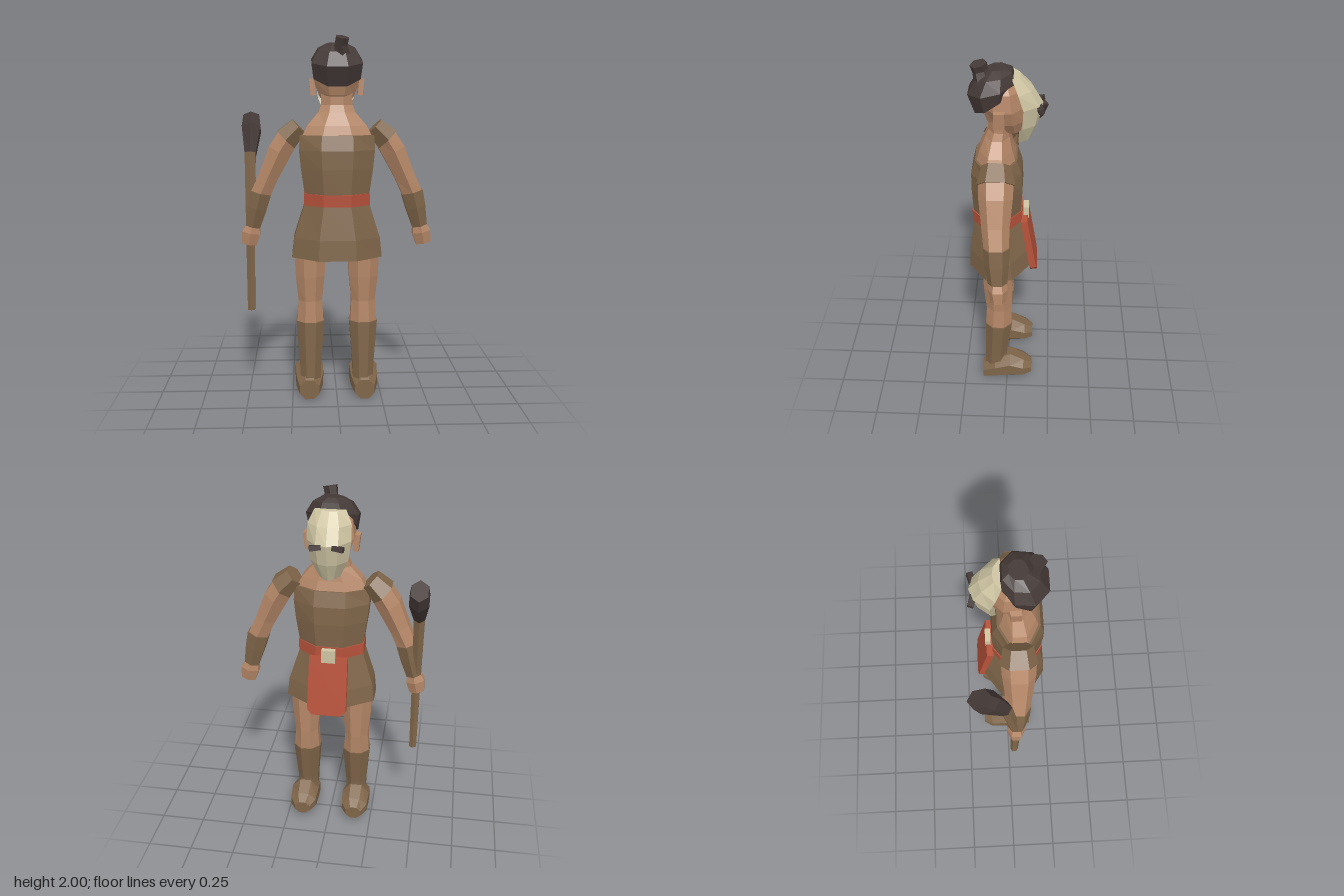
import * as THREE from 'three';

const mat = (name, color) => {
  const m = new THREE.MeshStandardMaterial({ color });
  m.name = name;
  return m;
};
const V = (x, y, z) => new THREE.Vector3(x, y, z);

// Eight- or six-sided ring around centre c, spanned by half-extents along a and b
function ringOn(c, a, b, n = 8) {
  const k = 1 / Math.cos(Math.PI / n);
  return Array.from({ length: n }, (_, i) => {
    const t = ((i + 0.5) / n) * Math.PI * 2;
    return c.clone().addScaledVector(a, k * Math.cos(t)).addScaledVector(b, k * Math.sin(t));
  });
}

// Horizontal ring from zBack to zFront; slope lifts y along z
const level = (x, y, rx, zBack, zFront, slope = 0, n = 8) => {
  const rz = (zBack - zFront) / 2;
  return ringOn(V(x, y, (zBack + zFront) / 2), V(rx, 0, 0), V(0, rz * slope, rz), n);
};

// Rings square to a path of [x, y, z, side radius, depth radius]
function along(path, n = 6) {
  const pts = path.map((p) => V(p[0], p[1], p[2]));
  return path.map((p, i) => {
    const t = pts[Math.min(i + 1, pts.length - 1)].clone().sub(pts[Math.max(i - 1, 0)]).normalize();
    const side = t.clone().cross(V(0, 0, 1)).normalize();
    const depth = side.clone().cross(t);
    return ringOn(pts[i], side.multiplyScalar(p[3]), depth.multiplyScalar(p[4]), n);
  });
}

// Closed faceted skin over a list of rings
function loft(rings) {
  const tris = [];
  const n = rings[0].length;
  for (let r = 0; r + 1 < rings.length; r++) {
    for (let i = 0; i < n; i++) {
      const j = (i + 1) % n;
      const [a, b, c, d] = [rings[r][i], rings[r][j], rings[r + 1][j], rings[r + 1][i]];
      tris.push([a, b, c], [a, c, d]);
    }
  }
  for (const [ring, end] of [[rings[0], 0], [rings[rings.length - 1], 1]]) {
    const c = ring.reduce((s, p) => s.add(p), V(0, 0, 0)).divideScalar(n);
    ring.forEach((p, i) => {
      const q = ring[(i + 1) % n];
      tris.push(end ? [c, p, q] : [c, q, p]);
    });
  }
  // Turn the skin outwards if its volume comes out negative
  const o = rings[0][0];
  const volume = tris.reduce((s, [a, b, c]) =>
    s + a.clone().sub(o).dot(b.clone().sub(o).cross(c.clone().sub(o))), 0);
  if (volume < 0) tris.forEach((t) => t.reverse());
  const g = new THREE.BufferGeometry().setFromPoints(tris.flat());
  g.computeVertexNormals();
  return g;
}

export function createModel() {
  const skin = mat('skin', 0xb58767);
  const leather = mat('brown leather', 0x7f6549);
  const dark = mat('dark hair and wood', 0x443936);
  const red = mat('red cloth', 0xb7523b);
  const bone = mat('bone', 0xcfc5a3);

  const model = new THREE.Group();
  model.name = 'maskedFigure';
  const add = (name, geometry, material) => {
    const m = new THREE.Mesh(geometry, material);
    m.name = name;
    model.add(m);
    return m;
  };

  // Tunic, belt and skirt
  add('tunic', loft([
    level(0, 1.12, 0.17, 0.18, -0.07),
    level(0, 1.3, 0.195, 0.19, -0.08),
    level(0, 1.4, 0.205, 0.19, -0.075),
    level(0, 1.48, 0.2, 0.17, -0.05),
  ]), leather);
  add('belt', loft([
    level(0, 1.1, 0.18, 0.187, -0.078),
    level(0, 1.165, 0.18, 0.19, -0.078),
  ]), red);
  add('skirt', loft([
    level(0, 0.815, 0.247, 0.21, -0.13, -0.04),
    level(0, 0.92, 0.235, 0.205, -0.115),
    level(0, 1.11, 0.175, 0.18, -0.072),
  ]), leather);

  // Shoulders, neck and head
  add('shouldersAndNeck', loft([
    level(0, 1.46, 0.195, 0.165, -0.045),
    level(0, 1.53, 0.16, 0.145, -0.025),
    level(0, 1.6, 0.1, 0.115, -0.01),
    level(0, 1.64, 0.085, 0.1, -0.01),
    level(0, 1.72, 0.085, 0.1, -0.02),
  ]), skin);
  add('head', loft([
    level(0, 1.625, 0.05, 0.03, -0.065),
    level(0, 1.69, 0.095, 0.105, -0.085),
    level(0, 1.77, 0.123, 0.13, -0.085),
    level(0, 1.86, 0.11, 0.13, -0.07),
    level(0, 1.92, 0.07, 0.09, -0.03),
  ]), skin);

  // Hair with a topknot
  add('hair', loft([
    level(0, 1.8, 0.125, 0.165, -0.015, -0.69),
    level(0, 1.87, 0.136, 0.2, -0.035, -0.26),
    level(0, 1.935, 0.1, 0.155, -0.02, -0.2),
    level(0, 1.965, 0.05, 0.1, 0.01, -0.1),
  ]), dark);
  add('topknot', loft(along([
    [0.025, 1.9, 0.12, 0.045, 0.042],
    [0.02, 1.955, 0.135, 0.032, 0.036],
    [0.027, 1.992, 0.145, 0.034, 0.038],
  ])), dark);

  // Bone mask: bowed rows of [y, half width, edge z, centre z]
  const bow = [0, 0.8, 1, 0.8, 0];
  add('mask', loft([
    [1.575, 0.055, -0.055, -0.115],
    [1.67, 0.098, -0.075, -0.155],
    [1.78, 0.115, -0.08, -0.178],
    [1.86, 0.112, -0.055, -0.13],
    [1.925, 0.08, -0.025, -0.065],
  ].map(([y, w, edge, front]) =>
    bow.map((b, i) => V((i / 2 - 1) * w, y, edge + (front - edge) * b)))), bone);

  // Skirted legs, boots, arms, ears and mask eyes, mirrored
  for (const s of [1, -1]) {
    const side = s > 0 ? 'left' : 'right';
    const leg = (y, r, back, front) => level(s * 0.148, y, r, back, front);

    const eye = add(side + 'MaskEye', new THREE.BoxGeometry(0.058, 0.026, 0.03), dark);
    eye.position.set(s * 0.058, 1.768, -0.163);
    eye.rotation.set(0.2, s * 0.25, s * -0.12);

    const ear = add(side + 'Ear', new THREE.BoxGeometry(0.028, 0.09, 0.055), skin);
    ear.position.set(s * 0.13, 1.735, 0.04);
    ear.rotation.z = s * -0.1;

    add(side + 'Leg', loft([
      leg(0.43, 0.073, 0.12, -0.025),
      leg(0.56, 0.066, 0.115, -0.03),
      leg(0.7, 0.08, 0.128, -0.032),
      leg(0.88, 0.088, 0.135, -0.035),
    ]), skin);
    add(side + 'BootShaft', loft([
      leg(0.06, 0.055, 0.13, 0.005),
      leg(0.2, 0.06, 0.127, 0),
      leg(0.44, 0.078, 0.123, -0.03),
    ]), leather);
    // Rows of [z, bottom, top, half width] from heel to toe
    add(side + 'Foot', loft([
      [0.142, 0, 0.11, 0.055],
      [0.07, 0.012, 0.16, 0.075],
      [-0.02, 0.025, 0.198, 0.08],
      [-0.1, 0.04, 0.155, 0.075],
      [-0.148, 0.048, 0.125, 0.045],
    ].map(([z, lo, hi, w]) =>
      ringOn(V(s * 0.155, (lo + hi) / 2, z), V(w, 0, 0), V(0, (hi - lo) / 2, 0)))), leather);

    add(side + 'ShoulderPad', loft(along([
      [s * 0.205, 1.525, 0.05, 0.05, 0.065],
      [s * 0.275, 1.455, 0.05, 0.065, 0.085],
    ])), leather);
    add(side + 'UpperArm', loft(along([
      [s * 0.26, 1.47, 0.05, 0.06, 0.078],
      [s * 0.31, 1.39, 0.05, 0.063, 0.075],
      [s * 0.37, 1.26, 0.048, 0.053, 0.062],
      [s * 0.42, 1.15, 0.042, 0.053, 0.055],
    ])), skin);
    add(side + 'ArmWrap', loft(along([
      [s * 0.416, 1.165, 0.042, 0.058, 0.06],
      [s * 0.437, 1.08, 0.04, 0.053, 0.056],
      [s * 0.462, 0.975, 0.035, 0.04, 0.044],
    ])), leather);
    add(side + 'Hand', loft(along([
      [s * 0.46, 0.99, 0.034, 0.034, 0.036],
      [s * 0.472, 0.94, 0.032, 0.05, 0.045],
      [s * 0.485, 0.875, 0.03, 0.04, 0.036],
    ])), skin);
  }

  // Red pouch hanging at the waist with its clasp
  const pouchShape = new THREE.Shape([
    [-0.105, 0.17], [0.105, 0.17], [0.112, -0.14], [0.085, -0.17], [-0.075, -0.17], [-0.105, -0.14],
  ].map(([x, y]) => new THREE.Vector2(x, y)));
  const pouchGeometry = new THREE.ExtrudeGeometry(pouchShape, { depth: 0.036, bevelEnabled: false });
  const pouch = add('pouch', pouchGeometry.translate(0, 0, -0.018), red);
  pouch.position.set(0, 0.945, -0.12);
  pouch.rotation.x = 0.17;
  const clasp = add('clasp', new THREE.BoxGeometry(0.075, 0.075, 0.03), bone);
  clasp.position.set(0, 1.125, -0.1);

  // Club held in the right hand
  add('clubHandle', loft(along([
    [-0.48, 0.495, 0.025, 0.02, 0.02],
    [-0.477, 0.95, 0.03, 0.024, 0.024],
    [-0.475, 1.38, -0.025, 0.03, 0.03],
  ])), leather);
  add('clubHead', loft(along([
    [-0.475, 1.36, -0.025, 0.03, 0.035],
    [-0.472, 1.5, -0.115, 0.052, 0.068],
    [-0.472, 1.565, -0.152, 0.044, 0.06],
  ])), dark);

  return model;
}
